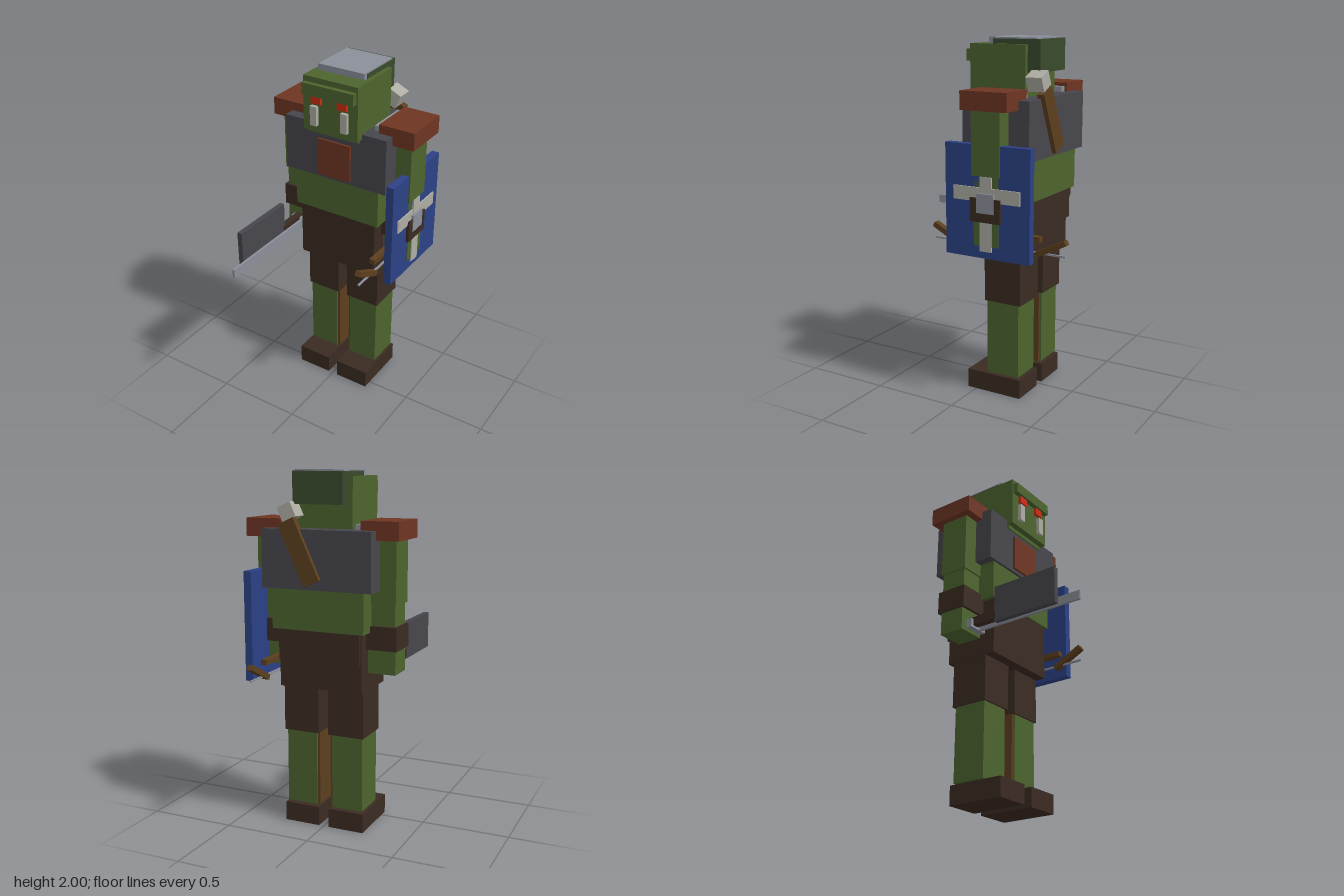
import * as THREE from 'three';

const mat = (name, color) => {
  const m = new THREE.MeshStandardMaterial({ color });
  m.name = name;
  return m;
};

export function createModel() {
  const model = new THREE.Group();
  model.name = 'armouredOrc';

  const skin = mat('skin green', 0x4c642e);
  const hairGreen = mat('dark green', 0x3a4a2e);
  const steel = mat('light steel', 0x8b8f99);
  const iron = mat('dark iron', 0x47464c);
  const rust = mat('rust leather', 0x6e3523);
  const leather = mat('dark leather', 0x3b2b22);
  const wood = mat('wood', 0x5c3f1e);
  const blue = mat('shield blue', 0x2c4186);
  const bone = mat('bone', 0xaeada4);
  const red = mat('eye red', 0xcc2c12);

  // box given by its [min, max] range on each axis
  const box = (name, material, [x0, x1], [y0, y1], [z0, z1], parent = model) => {
    const mesh = new THREE.Mesh(new THREE.BoxGeometry(x1 - x0, y1 - y0, z1 - z0), material);
    mesh.position.set((x0 + x1) / 2, (y0 + y1) / 2, (z0 + z1) / 2);
    mesh.name = name;
    parent.add(mesh);
    return mesh;
  };
  // the same box on both sides; x range is given for +x
  const pair = (name, material, [x0, x1], y, z) => {
    box(name + 'Left', material, [x0, x1], y, z);
    box(name + 'Right', material, [-x1, -x0], y, z);
  };

  // head
  box('head', skin, [-0.17, 0.17], [1.66, 1.965], [-0.27, 0.07]);
  box('chin', skin, [-0.16, 0.16], [1.635, 1.66], [-0.25, 0.035]);
  box('brow', skin, [-0.16, 0.16], [1.87, 1.935], [0.07, 0.1]);
  box('hair', hairGreen, [-0.145, 0.145], [1.82, 1.992], [-0.345, -0.06]);
  box('skullPlate', steel, [-0.143, 0.143], [1.96, 2], [-0.32, -0.033]);
  pair('eye', red, [0.05, 0.11], [1.825, 1.87], [0.06, 0.088]);
  pair('tusk', bone, [0.075, 0.115], [1.7, 1.81], [0.06, 0.092]);

  // torso
  box('chestArmour', iron, [-0.32, 0.32], [1.37, 1.69], [-0.377, 0.027]);
  box('chestPatch', rust, [-0.105, 0.103], [1.39, 1.605], [0.02, 0.04]);
  box('belly', skin, [-0.27, 0.27], [1.145, 1.5], [-0.357, 0.012]);
  box('belt', leather, [-0.24, 0.24], [0.97, 1.15], [-0.342, -0.01]);
  box('skirt', leather, [-0.245, 0.245], [0.815, 1.148], [-0.32, 0]);

  // legs
  pair('thigh', leather, [0.03, 0.24], [0.55, 0.82], [-0.285, -0.06]);
  pair('shin', skin, [0.047, 0.23], [0.12, 0.56], [-0.27, -0.07]);
  pair('shinStrip', wood, [0.033, 0.05], [0.12, 0.56], [-0.26, -0.08]);
  pair('boot', leather, [0.03, 0.24], [0, 0.11], [-0.285, 0.053]);

  // arms
  pair('shoulderPad', rust, [0.235, 0.447], [1.64, 1.74], [-0.315, -0.037]);
  pair('shoulderPlate', steel, [0.2, 0.3], [1.65, 1.72], [-0.3, -0.055]);
  pair('upperArm', skin, [0.25, 0.412], [1.295, 1.65], [-0.255, -0.083]);
  pair('forearm', skin, [0.255, 0.404], [1.17, 1.3], [-0.245, -0.093]);
  pair('bracer', leather, [0.245, 0.42], [1.05, 1.18], [-0.262, -0.078]);
  pair('hand', skin, [0.25, 0.409], [0.918, 1.06], [-0.245, -0.095]);

  // shield with cross and boss
  box('shield', blue, [0.36, 0.404], [0.85, 1.46], [-0.43, 0.083]);
  box('crossUpright', bone, [0.402, 0.414], [0.89, 1.295], [-0.205, -0.135]);
  box('crossBar', bone, [0.402, 0.412], [1.16, 1.235], [-0.375, 0.03]);
  box('shieldBoss', steel, [0.4, 0.424], [1.1, 1.205], [-0.225, -0.12]);

  // blade held in the right hand
  box('bladeHandle', leather, [-0.35, -0.312], [0.95, 1], [-0.22, 0.088]);
  box('blade', iron, [-0.346, -0.316], [0.935, 1.145], [0.08, 0.475]);
  box('spike', steel, [-0.297, -0.283], [0.937, 0.987], [-0.2, 0.595]);
  box('spikeGuard', steel, [-0.37, -0.25], [0.937, 0.987], [-0.1, -0.06]);

  // bow beside the left hand
  const bow = new THREE.Group();
  bow.name = 'bow';
  bow.position.set(0.286, 0, -0.175);
  model.add(bow);
  box('bowGrip', wood, [-0.017, 0.017], [0.95, 0.98], [-0.26, 0.263], bow);
  for (const s of [-1, 1]) {
    const limb = box('bowLimb', wood, [-0.019, 0.019], [0.908, 0.938], [s * 0.32 - 0.1, s * 0.32 + 0.1], bow);
    limb.rotation.x = -s * 0.47;
  }
  box('bowString', steel, [-0.005, 0.005], [0.885, 0.895], [-0.405, 0.405], bow);

  // club slung across the back
  const club = box('clubShaft', wood, [0.037, 0.137], [1.39, 1.75], [-0.402, -0.36]);
  const head = box('clubHead', bone, [0.118, 0.203], [1.737, 1.822], [-0.39, -0.295]);
  club.rotation.z = head.rotation.z = -0.43;

  return model;
}
